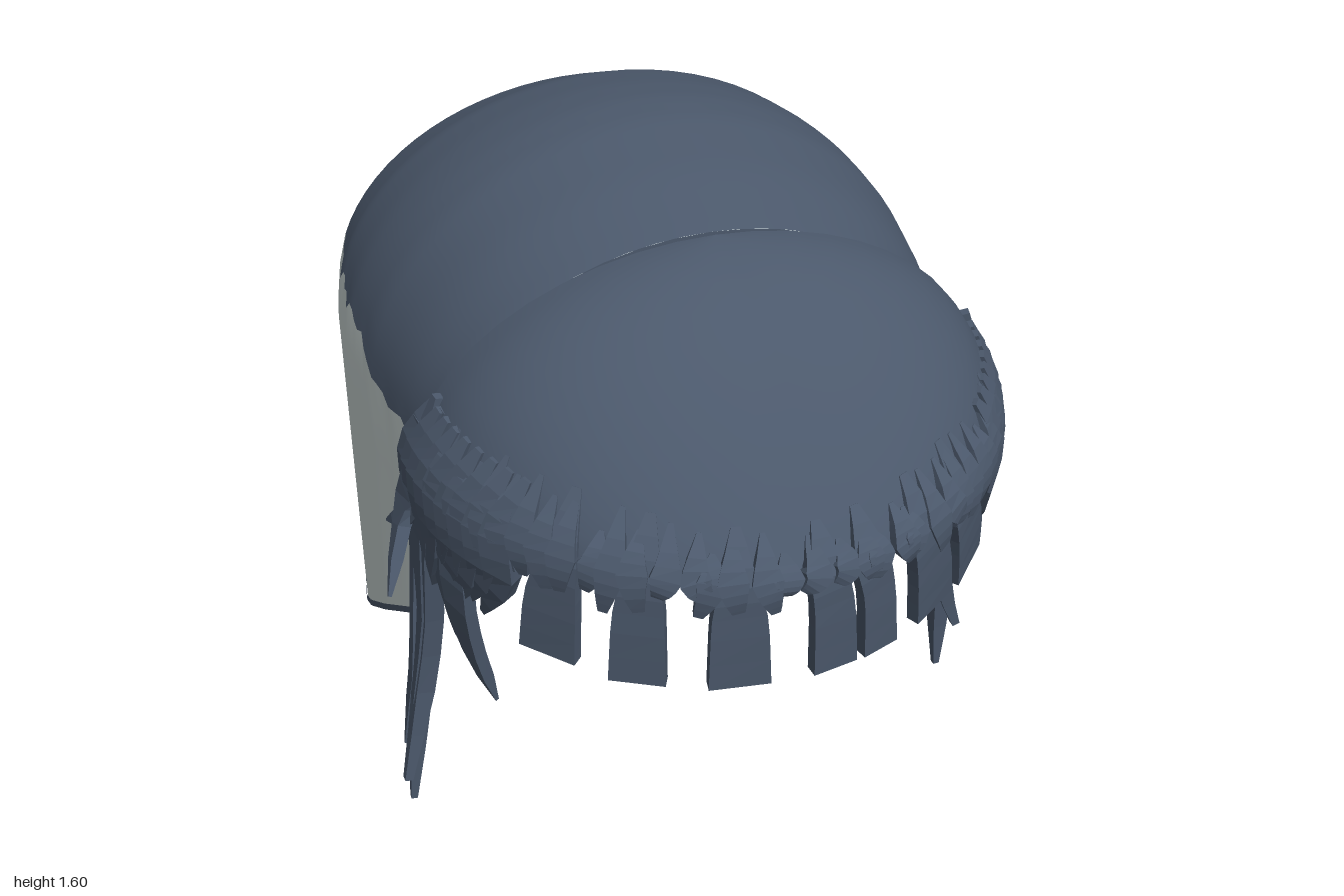
import * as THREE from 'three';

const dark = new THREE.MeshStandardMaterial({ color: 0x4b586b, side: THREE.DoubleSide });
dark.name = 'slate hair';
const pale = new THREE.MeshStandardMaterial({ color: 0xcdd8d7, side: THREE.DoubleSide });
pale.name = 'pale lining';

let seed = 7;
const rnd = () => (seed = (seed * 16807) % 2147483647) / 2147483647;
const lerp = THREE.MathUtils.lerp;

// Piecewise linear lookup in a list of [key, value], keys rising
function look(list, k) {
  if (k <= list[0][0]) return list[0][1];
  for (let i = 1; i < list.length; i++) {
    const [a, va] = list[i - 1], [b, vb] = list[i];
    if (k <= b) return lerp(va, vb, (k - a) / (b - a));
  }
  return list[list.length - 1][1];
}

// Smooth sheet from a rule fn(i, j) giving [x, y, z]
function sheet(name, nu, nv, fn, material) {
  const pos = [], index = [];
  for (let i = 0; i <= nu; i++) for (let j = 0; j <= nv; j++) pos.push(...fn(i, j));
  for (let i = 0; i < nu; i++) for (let j = 0; j < nv; j++) {
    const a = i * (nv + 1) + j, b = a + nv + 1;
    index.push(a, a + 1, b, b, a + 1, b + 1);
  }
  const g = new THREE.BufferGeometry();
  g.setAttribute('position', new THREE.Float32BufferAttribute(pos, 3));
  g.setIndex(index);
  g.computeVertexNormals();
  const m = new THREE.Mesh(g, material);
  m.name = name;
  return m;
}

// Back shell by depth: half width, crown height, lower edge, colour seam
const WIDTH = [[-1, 0.27], [-0.98, 0.36], [-0.95, 0.43], [-0.9, 0.49], [-0.8, 0.575], [-0.7, 0.63], [-0.6, 0.67],
  [-0.4, 0.705], [-0.2, 0.715], [0, 0.7], [0.2, 0.665], [0.39, 0.625]];
const CROWN = [[-1, 1.0], [-0.97, 1.1], [-0.93, 1.18], [-0.8, 1.36], [-0.6, 1.5], [-0.4, 1.575], [-0.25, 1.6],
  [-0.12, 1.61], [0, 1.603], [0.2, 1.56], [0.39, 1.495]];
const EDGE = [[-1, 0.84], [-0.95, 0.75], [-0.77, 0.5], [-0.41, 0.08], [0.39, 0.53]];
const SEAM = [[-0.88, 0.64], [-0.84, 0.79], [-0.78, 0.95], [-0.68, 1.07], [-0.58, 1.13], [-0.1, 1.12],
  [0.05, 1.04], [0.39, 1.02]];
const N = 48, M = 32, THICK = 0.018;
const depth = (i) => { const s = i / N; return 0.39 - 1.39 * (s + s * (1 - s) * 0.45); };

// Arch position: e < 0 is the upright wall, e from 0 to PI/2 climbs to the crown
function arch(i, e, side, off) {
  const z0 = depth(i), h = look(CROWN, z0), yb = Math.min(1, h - 0.06), w = look(WIDTH, z0) - off;
  const x = e < 0 ? w : w * Math.cos(e);
  const y = e < 0 ? yb + e : yb + (h - off - yb) * Math.sin(e);
  const t = (0.39 - z0) / 1.39;
  const z = z0 - (1 - t) ** 2 * 0.14 * Math.max(0, 1.42 - y) + off * t * t;
  return [side * x, y, z];
}
function levels(i, jitter) {
  const z0 = depth(i), h = look(CROWN, z0), yb = Math.min(1, h - 0.06), low = look(EDGE, z0);
  const seam = Math.max(low, look(SEAM, z0) + (z0 > -0.86 ? jitter : 0));
  return { low: low - yb, seam: seam < yb ? seam - yb : Math.asin(Math.min(1, (seam - yb) / (h - yb))) };
}
// j from 0 to M sweeps from one side's start level over the crown to the other
function sweep(i, j, start, off) {
  const v = j / M * 2 - 1;
  return arch(i, lerp(Math.PI / 2, start, Math.abs(v)), v < 0 ? 1 : -1, off);
}

function backShell() {
  const g = new THREE.Group();
  g.name = 'backShell';
  const lv = [];
  for (let i = 0; i <= N; i++) lv.push(levels(i, (rnd() - 0.5) * 0.045));
  g.add(sheet('crown', N, M, (i, j) => sweep(i, j, lv[i].seam, 0), dark));
  g.add(sheet('innerLining', N, M, (i, j) => sweep(i, j, lv[i].low, THICK), pale));
  for (const s of [1, -1]) {
    g.add(sheet('sidePanel', N, 6, (i, j) => arch(i, lerp(lv[i].low, lv[i].seam, (s > 0 ? j : 6 - j) / 6), s, 0), pale));
    g.add(sheet('lowerRim', N, 1, (i, j) => arch(i, lv[i].low, s, j * THICK), dark));
    // dark binding along the lower edge
    g.add(sheet('edgeBinding', N, 1, (i, j) => {
      const p = arch(i, lv[i].low + j * 0.02, s, -0.003);
      return p;
    }, dark));
  }
  g.add(sheet('frontRim', M, 1, (j, k) => sweep(0, j, lv[0].low, k * THICK), dark));
  // strip that closes the nape, with an arched lower edge
  const nape = (off) => (k, j) => {
    const [x, y, z] = sweep(N, j, lv[N].low, off);
    return [x, lerp(y, Math.min(y, 0.93 - 0.09 * (x / 0.27) ** 2), k / 2), z + k * 0.004];
  };
  g.add(sheet('nape', 2, M, nape(0), dark), sheet('napeLining', 2, M, nape(THICK), pale));
  return g;
}

// Fringe cap: a is the angle from the front, phi the climb to the top
function cap(a, phi, grow = 1) {
  const c = Math.cos(phi) * grow, s = Math.abs(Math.sin(a));
  const y = 1.01 + 0.495 * lerp(1 - Math.cos(phi) ** 1.8, Math.sin(phi), s ** 1.5);
  return new THREE.Vector3(0.665 * Math.sin(a) * c, y,
    0.425 + 0.565 * Math.cos(a) * c - 0.13 * s * s * (1.5 - y));
}
// Point hanging below the cap at height y
function hang(a, y, grow = 1) {
  const p = cap(a, 0, grow);
  p.y = y;
  return p;
}

// Faceted strand of hair along a path, widths given from root to tip
function strand(name, pts, widths, thick = 0.03) {
  const curve = new THREE.CatmullRomCurve3(pts), g0 = new THREE.BoxGeometry(1, 1, 1, 1, 8, 1);
  const p = g0.attributes.position, v = new THREE.Vector3();
  for (let i = 0; i < p.count; i++) {
    v.fromBufferAttribute(p, i);
    const t = 0.5 - v.y, c = curve.getPoint(t), along = curve.getTangent(t).negate();
    const out = new THREE.Vector3(c.x, 0, (c.z - 0.3) * 1.1).normalize();
    const side = along.clone().cross(out).normalize();
    out.crossVectors(side, along);
    const k = t * (widths.length - 1), n = Math.min(Math.floor(k), widths.length - 2);
    const w = lerp(widths[n], widths[n + 1], k - n);
    c.addScaledVector(side, v.x * w).addScaledVector(out, v.z * Math.min(thick, w * 0.8 + 0.004));
    p.setXYZ(i, c.x, c.y, c.z);
  }
  const g = g0.toNonIndexed();
  g.computeVertexNormals();
  const m = new THREE.Mesh(g, dark);
  m.name = name;
  return m;
}

function fringe() {
  const g = new THREE.Group();
  g.name = 'fringe';
  const angle = (j) => -Math.PI / 2 + Math.PI * j / 32;
  g.add(sheet('fringeCap', 12, 32, (i, j) => cap(angle(j), Math.PI / 2 * (1 - i / 12)).toArray(), dark));

  // broad blunt bangs: tip x, tip height, tip width
  for (const [x, y, w] of [[-0.48, 0.78, 0.13], [-0.325, 0.76, 0.12], [-0.13, 0.76, 0.13], [0.075, 0.765, 0.1],
    [0.185, 0.77, 0.085], [0.34, 0.79, 0.12], [0.47, 0.8, 0.12]]) {
    const a1 = Math.asin(x / 0.66), a0 = Math.asin((x * 0.9 - 0.025) / 0.665);
    g.add(strand('bang', [cap(a0, 0.45, 0.98), cap(a0, 0.12, 1), hang(lerp(a0, a1, 0.5), 0.93), hang(a1, y, 0.985)],
      [0.02, 0.08, w * 0.9, w], 0.03));
  }
  // thin locks layered over the hairline
  for (let k = 0; k < 34; k++) {
    const a = -1.3 + 2.6 * (k + rnd() * 0.7) / 34, d = a + (rnd() - 0.4) * 0.1, y = 0.93 + rnd() * 0.06;
    g.add(strand('overlay', [cap(a, 0.3 + rnd() * 0.15, 0.99), cap(a, 0.12, 1.01), hang(d, y, 1.005)],
      [0.01, 0.065, 0.02], 0.035));
  }
  for (const s of [1, -1]) {
    // temple locks sweeping back
    for (let k = 0; k < 9; k++) {
      const a = s * (0.98 + k * 0.075), tip = hang(a + s * 0.1, 0.8 - rnd() * 0.14, 0.97);
      tip.z -= 0.06;
      g.add(strand('templeLock', [cap(a - s * 0.05, 0.4), cap(a, 0.1, 1.01), hang(a, 0.93, 1), tip],
        [0.02, 0.08, 0.075, 0.015], 0.035));
    }
    // pts are for the model's left, mirrored for its right
    const lock = (name, list, widths, th) =>
      g.add(strand(name, list.map(([x, y, z]) => new THREE.Vector3(s * x, y, z)), widths, th));
    const L = s > 0;
    lock('flick', [[0.61, 1.22, 0.42], [0.665, 1.03, 0.4], [0.69, 0.92, 0.36], L ? [0.755, 0.82, 0.27] : [0.755, 0.75, 0.45]],
      [0.02, 0.07, 0.07, 0.005]);
    lock('flick', [[0.6, 1.2, 0.45], [0.655, 1.0, 0.42], [0.68, 0.9, 0.36], L ? [0.73, 0.86, 0.3] : [0.72, 0.83, 0.27]],
      [0.02, 0.07, 0.06, 0.005]);
    lock('innerLock', [[0.6, 1.1, 0.52], [0.62, 0.85, 0.54], [0.6, 0.66, 0.52], L ? [0.56, 0.54, 0.46] : [0.54, 0.44, 0.5]],
      [0.06, 0.09, 0.07, 0.005]);
    lock('innerLock', [[0.6, 1.1, 0.48], [0.63, 0.85, 0.47], [0.61, 0.68, 0.45], [0.59, 0.55, 0.43]],
      [0.06, 0.08, 0.06, 0.01]);
    // long side locks, split at the tips
    lock('sideLock', [[0.63, 1.15, 0.4], [0.655, 0.9, 0.36], [0.655, 0.6, 0.32], [0.685, 0.35, 0.3],
      L ? [0.7, 0.08, 0.3] : [0.725, 0.01, 0.3]], [0.06, 0.1, 0.08, 0.065, 0.015], 0.045);
    lock('sideLock', [[0.63, 1.12, 0.42], [0.65, 0.85, 0.38], [0.65, 0.6, 0.34], [0.68, 0.37, 0.32],
      L ? [0.735, 0.22, 0.32] : [0.74, 0.11, 0.34]], [0.05, 0.08, 0.06, 0.05, 0.02], 0.045);
    lock('sideLock', [[0.65, 0.95, 0.33], [0.665, 0.65, 0.29], [0.69, 0.35, 0.28], [0.725, 0.16, 0.265]],
      [0.03, 0.05, 0.05, 0.01], 0.035);
  }
  return g;
}

export function createModel() {
  seed = 7;
  const model = new THREE.Group();
  model.name = 'hair';
  model.add(backShell(), fringe());
  return model;
}
